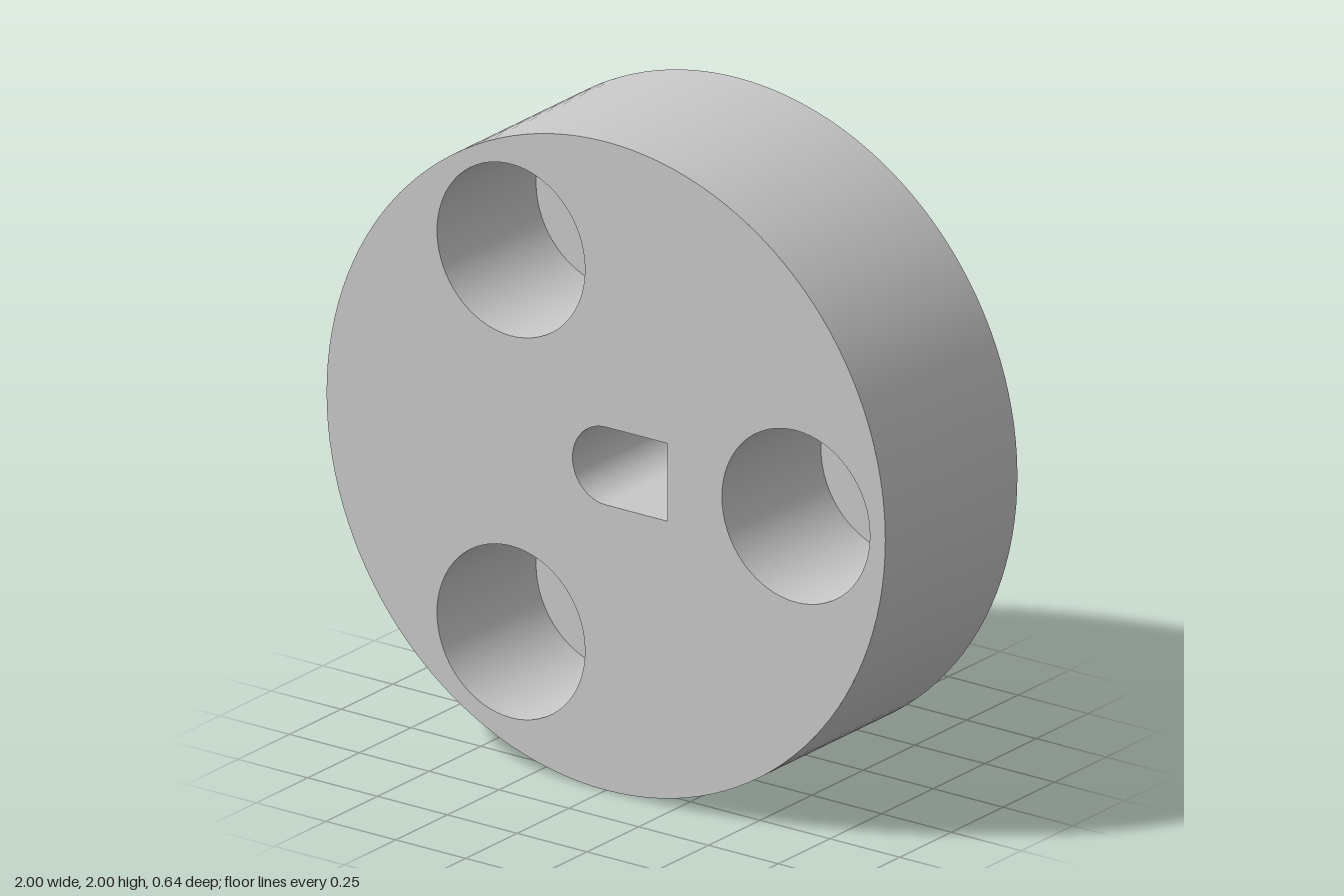
import * as THREE from 'three';
import { toCreasedNormals } from 'three/addons/utils/BufferGeometryUtils.js';

const HALF = 0.32;        // half thickness of the disc
const FLOOR = -0.16;      // z of the counterbore floors
const BORE = 0.265, BOLT = 0.083, PITCH = 0.68;
const SCREW = 0.05, SCREW_DEPTH = 0.5;

// Points on an arc; a falling angle makes walls face inwards
function arc(cx, cy, r, from, to, n) {
  return Array.from({ length: n + 1 }, (_, i) => {
    const a = from + (to - from) * i / n;
    return new THREE.Vector2(cx + r * Math.cos(a), cy + r * Math.sin(a));
  });
}
const ring = (cx, cy, r, n = 64) => arc(cx, cy, r, Math.PI * 2, 0, n);

// Strip of wall swept along z from a run of points
function wall(points, z0, z1) {
  const pos = [];
  for (let i = 0; i < points.length - 1; i++) {
    const a = points[i], b = points[i + 1];
    pos.push(a.x, a.y, z0, b.x, b.y, z0, b.x, b.y, z1);
    pos.push(a.x, a.y, z0, b.x, b.y, z1, a.x, a.y, z1);
  }
  const g = new THREE.BufferGeometry();
  g.setAttribute('position', new THREE.Float32BufferAttribute(pos, 3));
  return toCreasedNormals(g, 0.6);
}

// Flat plate outline with holes
function plate(outline, holes) {
  const shape = new THREE.Shape(outline);
  shape.holes = holes.map(h => new THREE.Path(h));
  return new THREE.ShapeGeometry(shape);
}

export function createModel() {
  const group = new THREE.Group();
  const metal = new THREE.MeshStandardMaterial({ color: 0xc8c8c8 });
  metal.name = 'plain grey';
  const add = (name, geometry) => {
    const mesh = new THREE.Mesh(geometry, metal);
    mesh.name = name;
    mesh.position.y = 1;
    group.add(mesh);
  };

  const centres = [0, 1, 2].map(i => {
    const a = i * Math.PI * 2 / 3;
    return [PITCH * Math.cos(a), PITCH * Math.sin(a)];
  });

  // Shaft slot: round on the right, square on the left
  const slot = [
    new THREE.Vector2(0.22, 0.12), new THREE.Vector2(0.22, -0.12),
    ...arc(0, 0, 0.12, -Math.PI / 2, -Math.PI * 1.5, 32),
    new THREE.Vector2(0.22, 0.12),
  ];
  add('shaftSlot', wall(slot, -HALF, HALF));

  // Front and back faces
  const rim = ring(0, 0, 1, 128);
  add('frontFace', plate(rim, [slot, ...centres.map(c => ring(...c, BORE))])
    .translate(0, 0, HALF));
  const mirrored = pts => pts.map(p => new THREE.Vector2(-p.x, p.y));
  add('backFace', plate(rim, [slot, ...centres.map(c => ring(...c, BOLT))].map(mirrored))
    .rotateY(Math.PI).translate(0, 0, -HALF));

  // Counterbored bolt holes
  centres.forEach(c => {
    add('counterbore', wall(ring(...c, BORE), FLOOR, HALF));
    add('counterboreFloor', plate(ring(...c, BORE), [ring(...c, BOLT)])
      .translate(0, 0, FLOOR));
    add('boltHole', wall(ring(...c, BOLT, 48), -HALF, FLOOR));
  });

  // Outer rim, with a narrow strip left open at the bottom
  const gap = 0.06;
  add('outerRim', wall(
    arc(0, 0, 1, -Math.PI / 2 + gap, Math.PI * 1.5 - gap, 126), -HALF, HALF));

  // Curved bottom strip pierced by the set screw hole
  const strip = plate([
    new THREE.Vector2(-gap, -HALF), new THREE.Vector2(gap, -HALF),
    new THREE.Vector2(gap, HALF), new THREE.Vector2(-gap, HALF),
  ], [ring(0, 0, SCREW, 32)]);
  const p = strip.attributes.position, n = strip.attributes.normal;
  for (let i = 0; i < p.count; i++) {
    const x = Math.sin(p.getX(i)), y = -Math.cos(p.getX(i)), z = p.getY(i);
    p.setXYZ(i, x, y, z);
    n.setXYZ(i, x, y, 0);
  }
  add('bottomStrip', strip);

  // Blind set screw hole
  add('setScrewHole', wall(ring(0, 0, SCREW, 32), 0.0005, SCREW_DEPTH)
    .rotateX(-Math.PI / 2).translate(0, -1, 0));
  add('setScrewHoleEnd', new THREE.CircleGeometry(SCREW, 32)
    .rotateX(Math.PI / 2).translate(0, SCREW_DEPTH - 1, 0));

  return group;
}
